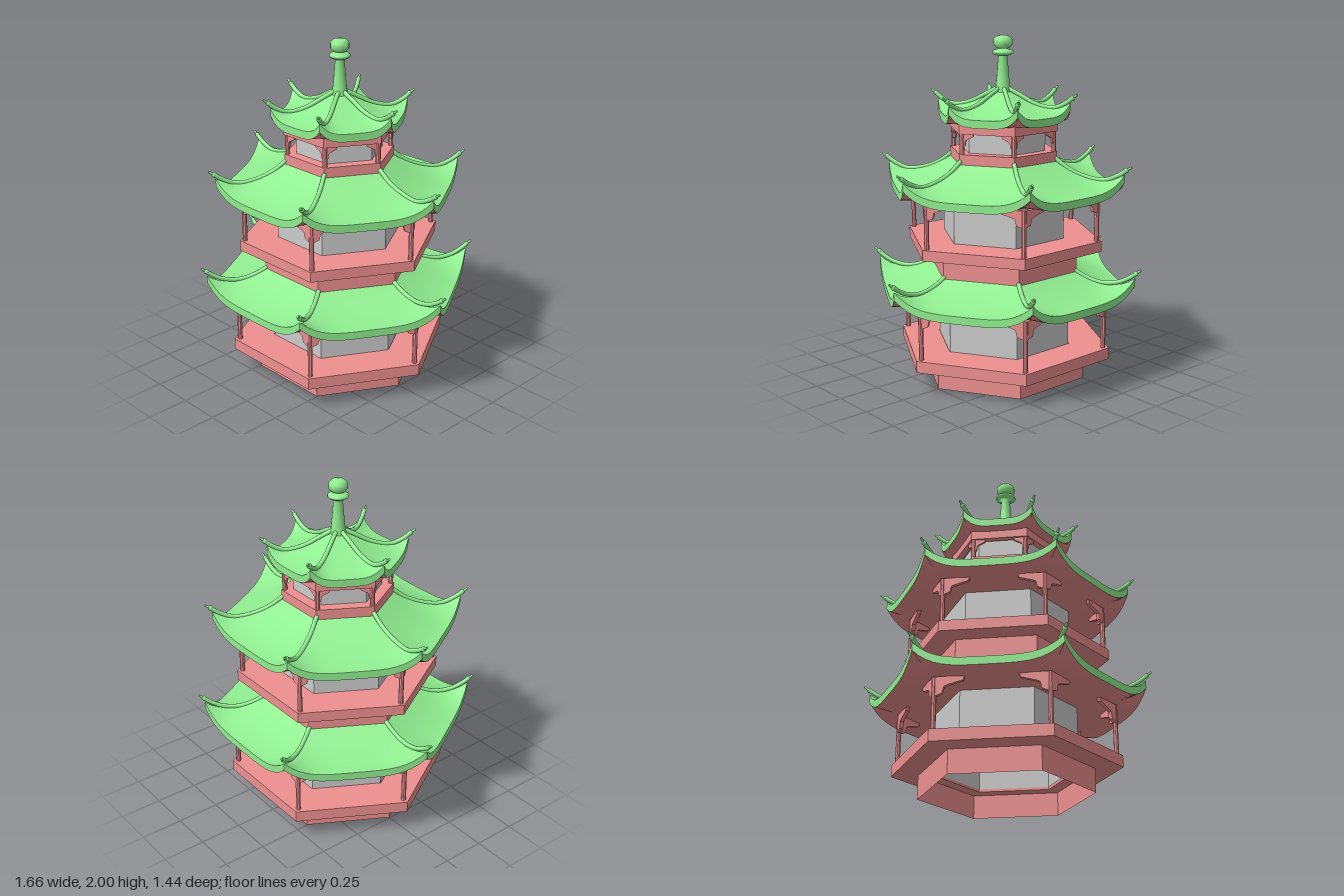
import * as THREE from 'three';

const material = (color, flat) => new THREE.MeshStandardMaterial({ color, flatShading: flat, side: THREE.DoubleSide });
const GREEN = 0x90ee90, PINK = 0xee9090;
const tile = material(GREEN, false), timber = material(PINK, true);
const soffitMat = material(PINK, false), wallMat = material(0xcccccc, true);

function mesh(name, geometry, mat) {
  const m = new THREE.Mesh(geometry, mat);
  m.name = name;
  return m;
}

// Hexagonal lathe with its corners on the x axis
function hex(name, points, mat) {
  const profile = points.map(([r, y]) => new THREE.Vector2(r, y));
  return mesh(name, new THREE.LatheGeometry(profile, 6, Math.PI / 2), mat);
}
const ring = (name, rIn, rOut, y0, y1) =>
  hex(name, [[rIn, y0], [rOut, y0], [rOut, y1], [rIn, y1], [rIn, y0]], timber);
const tube = (name, r, y0, y1, mat) => hex(name, [[r, y0], [r, y1]], mat);

// Surface grid from a rule fn(u, v) with u and v in 0..1
function grid(nu, nv, fn) {
  const pos = [], index = [];
  for (let j = 0; j <= nv; j++)
    for (let i = 0; i <= nu; i++) pos.push(...fn(i / nu, j / nv));
  for (let j = 0; j < nv; j++)
    for (let i = 0; i < nu; i++) {
      const a = j * (nu + 1) + i, b = a + nu + 1;
      index.push(a, b, a + 1, a + 1, b, b + 1);
    }
  const g = new THREE.BufferGeometry();
  g.setAttribute('position', new THREE.Float32BufferAttribute(pos, 3));
  g.setIndex(index);
  g.computeVertexNormals();
  return g;
}

// Six-sided sweeping roof with upturned corners, fascia, soffit and hip ridges
function roof({ rTop, yTop, rEave, yEave, lift, rSoffit, ridge }) {
  const group = new THREE.Group();
  group.name = 'roof';
  const thick = 0.045, cos30 = Math.cos(Math.PI / 6);
  const point = (u, r, y) => [(u * 2 - 1) * r / 2, y, r * cos30];
  const rise = (u, t) => lift * t ** 3 * Math.abs(u * 2 - 1) ** 4;

  const top = grid(20, 10, (u, v) => point(u, rTop + (rEave - rTop) * v,
    yEave + (yTop - yEave) * (1 - v) ** 1.6 + rise(u, v)));
  const fascia = grid(20, 1, (u, v) => point(u, rEave, yEave - thick * v + rise(u, 1)));
  const soffit = grid(20, 8, (u, v) => point(u, rEave + (rSoffit - rEave) * v, yEave - thick + rise(u, 1 - v)));
  const curve = new THREE.CatmullRomCurve3(ridge.map(([x, y]) => new THREE.Vector3(x, y, 0)));
  const [ex, ey] = ridge[ridge.length - 1];
  const tipDir = curve.getTangent(1);

  for (let k = 0; k < 6; k++) {
    const side = new THREE.Group();
    side.name = 'roofSide';
    side.add(mesh('roofTiles', top, tile), mesh('fascia', fascia, tile), mesh('soffit', soffit, soffitMat));
    side.rotation.y = k * Math.PI / 3;

    const hip = new THREE.Group();
    hip.name = 'hipRidge';
    hip.add(mesh('ridge', new THREE.TubeGeometry(curve, 20, 0.013, 8), tile));
    // Stepped finial at the upturned end
    const tip = mesh('ridgeTip', new THREE.CylinderGeometry(0.006, 0.009, 0.04, 8), tile);
    tip.position.set(ex, ey, 0).addScaledVector(tipDir, 0.016);
    tip.quaternion.setFromUnitVectors(new THREE.Vector3(0, 1, 0), tipDir);
    const collar = mesh('ridgeEnd', new THREE.SphereGeometry(0.015, 8, 6), tile);
    collar.position.set(ex, ey, 0);
    hip.add(tip, collar);
    hip.rotation.y = k * Math.PI / 3;
    group.add(side, hip);
  }
  return group;
}

// Ring of six posts, each with two brackets along the eaves
function posts(r, y0, y1, len, drop, thickness = 0.022) {
  const group = new THREE.Group();
  group.name = 'posts';
  const outline = [[0, 0], [1, 0], [0.94, -0.22], [0.46, -0.42], [0.33, -0.5], [0.27, -0.85], [0, -1]];
  const shape = new THREE.Shape(outline.map(([x, y]) => new THREE.Vector2(x * len, y * drop)));
  const bracket = new THREE.ExtrudeGeometry(shape, { depth: thickness, bevelEnabled: false });
  bracket.translate(0, 0, -thickness / 2);
  const shaft = new THREE.CylinderGeometry(0.014, 0.014, y1 - y0, 8);
  for (let k = 0; k < 6; k++) {
    const post = new THREE.Group();
    post.name = 'post';
    const column = mesh('column', shaft, timber);
    column.position.set(r, (y0 + y1) / 2, 0);
    post.add(column);
    for (const s of [-1, 1]) {
      const b = mesh('bracket', bracket, timber);
      b.position.set(r, y1, 0);
      b.rotation.y = s * Math.PI * 2 / 3;
      post.add(b);
    }
    post.rotation.y = k * Math.PI / 3;
    group.add(post);
  }
  return group;
}

function storey(name, ...parts) {
  const g = new THREE.Group();
  g.name = name;
  g.add(...parts);
  return g;
}

export function createModel() {
  const model = new THREE.Group();
  model.name = 'pagoda';

  model.add(storey('lowerStorey',
    tube('plinth', 0.495, 0, 0.14, timber),
    ring('floor', 0.41, 0.65, 0.137, 0.205),
    tube('walls', 0.405, 0.15, 0.5, wallMat),
    posts(0.615, 0.2, 0.5, 0.165, 0.11),
    roof({
      rTop: 0.42, yTop: 0.665, rEave: 0.797, yEave: 0.54, lift: 0.1, rSoffit: 0.4,
      ridge: [[0.42, 0.672], [0.5, 0.626], [0.6, 0.598], [0.7, 0.61], [0.77, 0.645], [0.8, 0.668]],
    })));

  model.add(storey('middleStorey',
    tube('plinth', 0.45, 0.63, 0.785, timber),
    ring('floor', 0.37, 0.595, 0.78, 0.842),
    tube('walls', 0.37, 0.8, 1.1, wallMat),
    posts(0.565, 0.84, 1.105, 0.15, 0.1),
    roof({
      rTop: 0.31, yTop: 1.3, rEave: 0.722, yEave: 1.147, lift: 0.09, rSoffit: 0.365,
      ridge: [[0.31, 1.315], [0.4, 1.25], [0.5, 1.212], [0.6, 1.2], [0.69, 1.235], [0.73, 1.262]],
    })));

  model.add(storey('upperStorey',
    ring('railing', 0.25, 0.325, 1.28, 1.35),
    tube('walls', 0.255, 1.3, 1.5, wallMat),
    posts(0.305, 1.34, 1.467, 0.07, 0.08, 0.016),
    ring('beam', 0.285, 0.327, 1.465, 1.52),
    roof({
      rTop: 0.03, yTop: 1.69, rEave: 0.4, yEave: 1.557, lift: 0.07, rSoffit: 0.25,
      ridge: [[0.03, 1.7], [0.1, 1.665], [0.2, 1.615], [0.3, 1.598], [0.37, 1.625], [0.41, 1.655]],
    })));

  // Tapered spire with collar and flattened ball
  const spire = [[0.047, 1.66], [0.036, 1.76], [0.026, 1.885], [0.045, 1.887], [0.06, 1.897], [0.06, 1.908],
    [0.045, 1.918], [0.025, 1.922], [0.038, 1.928], [0.054, 1.946], [0.054, 1.975], [0.036, 1.993], [0, 2]];
  model.add(mesh('spire', new THREE.LatheGeometry(spire.map(([r, y]) => new THREE.Vector2(r, y)), 16), tile));
  return model;
}
